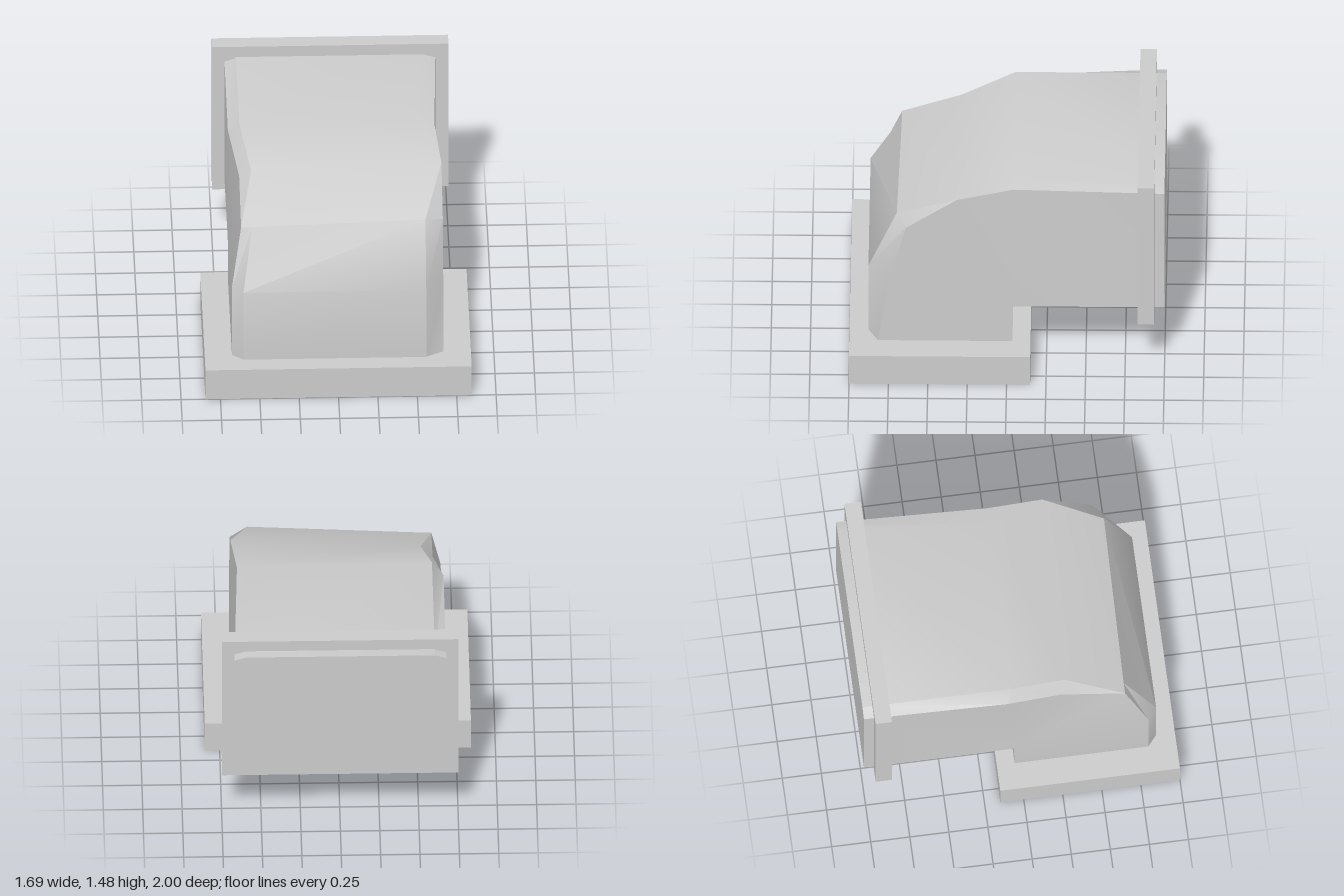
import * as THREE from 'three';
import { toCreasedNormals } from 'three/addons/utils/BufferGeometryUtils.js';

const grey = new THREE.MeshStandardMaterial({ color: 0xcccccc });

function box(name, w, h, d, x, y, z) {
  const mesh = new THREE.Mesh(new THREE.BoxGeometry(w, h, d), grey);
  mesh.name = name;
  mesh.position.set(x, y, z);
  return mesh;
}

// Cross-sections around the bend: inner right, side right, edge right, edge left, side left, inner left
const W = 0.672;
const section = (iy, iz, sideR, edgeR, edgeL, sideL) =>
  [[-W, iy, iz], sideR, edgeR, edgeL, sideL, [W, iy, iz]];
const sections = [
  section(0.2, -0.035, [-W, 0.2, 0.82], [-0.6, 0.2, 0.88], [0.56, 0.2, 0.88], [W, 0.2, 0.82]),
  section(0.49, -0.04, [-W, 0.72, 0.82], [-0.6, 0.72, 0.88], [0.56, 0.72, 0.88], [W, 0.68, 0.75]),
  section(0.49, -0.04, [-0.61, 1.085, 0.68], [-0.54, 1.087, 0.68], [0.56, 1.135, 0.7], [W, 1.1, 0.64]),
  section(0.49, -0.04, [-0.61, 1.21, 0.27], [-0.535, 1.27, 0.3], [0.56, 1.32, 0.325], [W, 1.32, 0.32]),
  section(0.49, -0.04, [-W, 1.33, -0.08], [-0.6, 1.403, -0.04], [0.53, 1.403, -0.04], [0.638, 1.38, -0.04]),
  section(0.49, -1, [-W, 1.38, -1], [-0.6, 1.403, -1], [0.6, 1.403, -1], [W, 1.38, -1]),
];

function elbowGeometry() {
  const pos = [];
  const tri = (...pts) => {
    const [a, b, c] = pts.map((p) => new THREE.Vector3(...p));
    // Skip triangles collapsed at the inner corner
    if (b.sub(a).cross(c.sub(a)).length() > 1e-6) pos.push(...pts.flat());
  };
  for (let i = 0; i < sections.length - 1; i++) {
    const s = sections[i], t = sections[i + 1];
    for (let k = 0; k < s.length; k++) {
      const n = (k + 1) % s.length;
      tri(s[k], s[n], t[n]);
      tri(s[k], t[n], t[k]);
    }
  }
  // Rear end cap
  const end = sections[sections.length - 1];
  for (let k = 1; k < end.length - 1; k++) tri(end[0], end[k], end[k + 1]);
  const geometry = new THREE.BufferGeometry();
  geometry.setAttribute('position', new THREE.Float32BufferAttribute(pos, 3));
  return toCreasedNormals(geometry, 0.5);
}

export function createModel() {
  const group = new THREE.Group();
  group.name = 'ductElbow';
  const elbow = new THREE.Mesh(elbowGeometry(), grey);
  elbow.name = 'elbow';
  group.add(
    elbow,
    box('baseFlange', 1.69, 0.217, 1.15, 0, 0.1085, 0.425),
    box('rearFlange', 1.5, 1.07, 0.105, 0, 0.945, -0.883),
  );
  return group;
}
